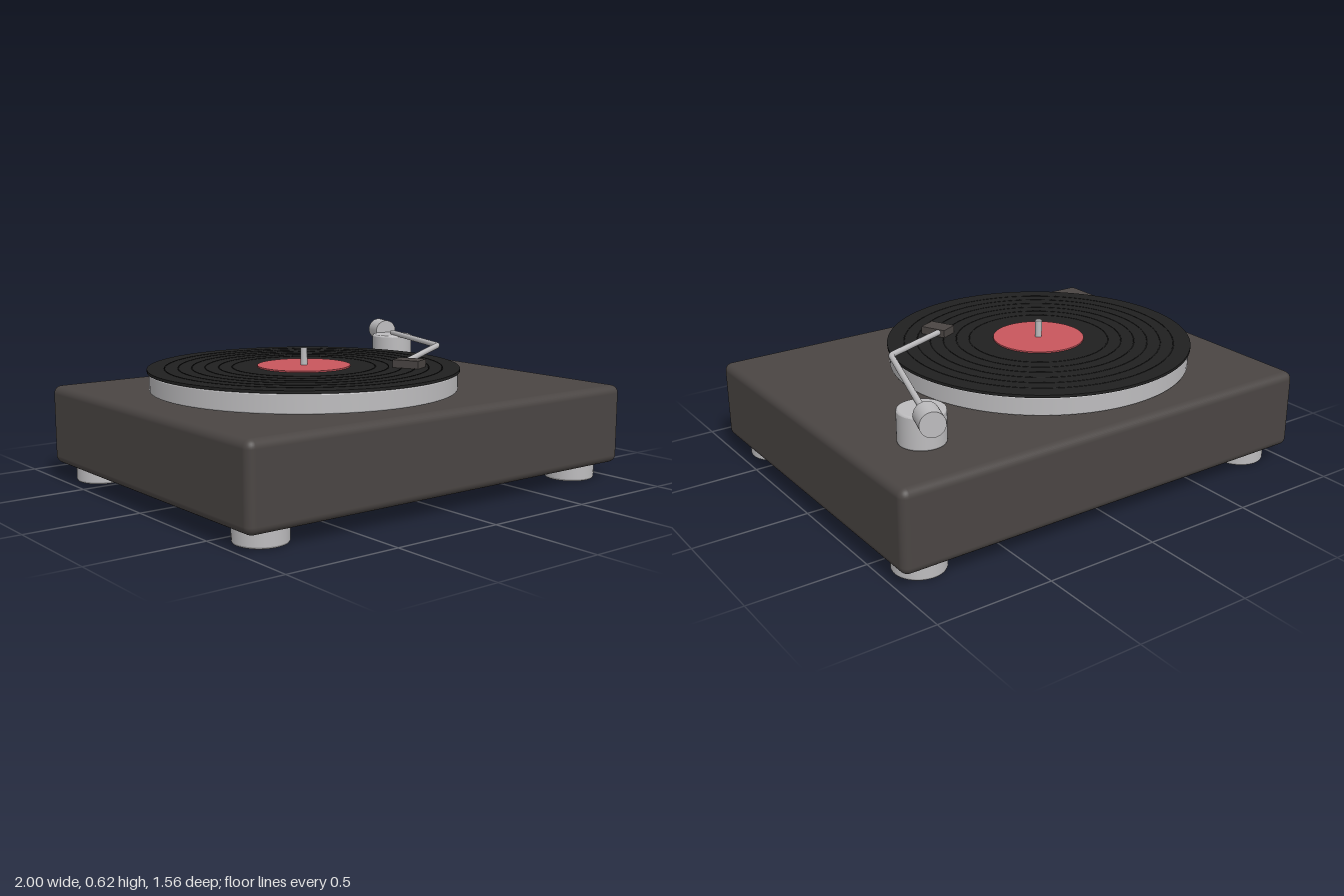
import * as THREE from 'three';
import { RoundedBoxGeometry } from 'three/addons/geometries/RoundedBoxGeometry.js';

const mat = (name, color) => Object.assign(new THREE.MeshStandardMaterial({ color }), { name });

export function createModel() {
  const charcoal = mat('charcoal', 0x4a4543);
  const silver = mat('silver', 0xbdbcbe);
  const vinyl = mat('vinyl black', 0x202020);
  const groove = mat('groove black', 0x121212);
  const red = mat('label red', 0xc8565d);

  const model = new THREE.Group();
  model.name = 'recordPlayer';
  const add = (name, geometry, material, x, y, z) => {
    const mesh = new THREE.Mesh(geometry, material);
    mesh.name = name;
    mesh.position.set(x, y, z);
    model.add(mesh);
    return mesh;
  };

  // Upright disc with a small rounded rim, from y = 0 to y = h
  const disc = (r, h, b, segments = 64) => {
    const pts = [[0, 0], [r - b, 0], [r - b, 0], [r - b * 0.3, b * 0.3], [r, b], [r, b],
      [r, h - b], [r, h - b], [r - b * 0.3, h - b * 0.3], [r - b, h], [r - b, h], [0, h]];
    return new THREE.LatheGeometry(pts.map(([x, y]) => new THREE.Vector2(x, y)), segments);
  };

  // Plinth and feet
  add('plinth', new RoundedBoxGeometry(2, 0.35, 1.56, 4, 0.035), charcoal, 0, 0.247, 0);
  for (const sx of [-1, 1]) for (const sz of [-1, 1]) {
    add('foot', disc(0.11, 0.08, 0.01, 40), silver, sx * 0.845, 0, sz * 0.627);
  }

  // Platter, record, label and spindle
  const px = -0.18;
  add('platterBearing', new THREE.CylinderGeometry(0.2, 0.2, 0.03, 40), silver, px, 0.425, 0);
  add('platter', disc(0.667, 0.082, 0.006, 96), silver, px, 0.43, 0);
  add('record', new THREE.CylinderGeometry(0.675, 0.675, 0.012, 96), vinyl, px, 0.518, 0);
  for (let i = 0; i < 6; i++) {
    const ring = new THREE.TorusGeometry(0.31 + i * 0.058, 0.004, 6, 96).rotateX(Math.PI / 2);
    add('groove', ring, groove, px, 0.522, 0);
  }
  add('label', new THREE.CylinderGeometry(0.202, 0.202, 0.008, 64), red, px, 0.526, 0);
  add('spindle', new THREE.CylinderGeometry(0.015, 0.015, 0.085, 20), silver, px, 0.563, 0);

  // Tonearm: pivot, bent tube, headshell and counterweight
  const pivot = new THREE.Vector3(0.71, 0.568, -0.445);
  const elbow = new THREE.Vector3(0.53, 0.568, 0.085);
  const head = new THREE.Vector3(0.165, 0.543, 0.275);
  add('armBase', disc(0.098, 0.14, 0.008, 48), silver, 0.71, 0.42, -0.45);

  const corner = (to) => elbow.clone().lerp(to, 0.03);
  const path = new THREE.CurvePath();
  path.add(new THREE.LineCurve3(pivot, corner(pivot)));
  path.add(new THREE.QuadraticBezierCurve3(corner(pivot), elbow, corner(head)));
  path.add(new THREE.LineCurve3(corner(head), head));
  add('tonearm', new THREE.TubeGeometry(path, 80, 0.013, 14), silver, 0, 0, 0);
  const cap = add('tonearmEnd', new THREE.SphereGeometry(0.013, 14, 10), silver, 0, 0, 0);
  cap.position.copy(pivot);

  add('headshell', new THREE.BoxGeometry(0.085, 0.034, 0.12), charcoal, 0.155, 0.541, 0.31)
    .rotation.y = 0.445;

  const back = pivot.clone().sub(elbow).normalize();
  const weight = add('counterweight', new THREE.CylinderGeometry(0.052, 0.052, 0.107, 40), silver,
    0.753, 0.568, -0.578);
  weight.quaternion.setFromUnitVectors(new THREE.Vector3(0, 1, 0), back);

  return model;
}
